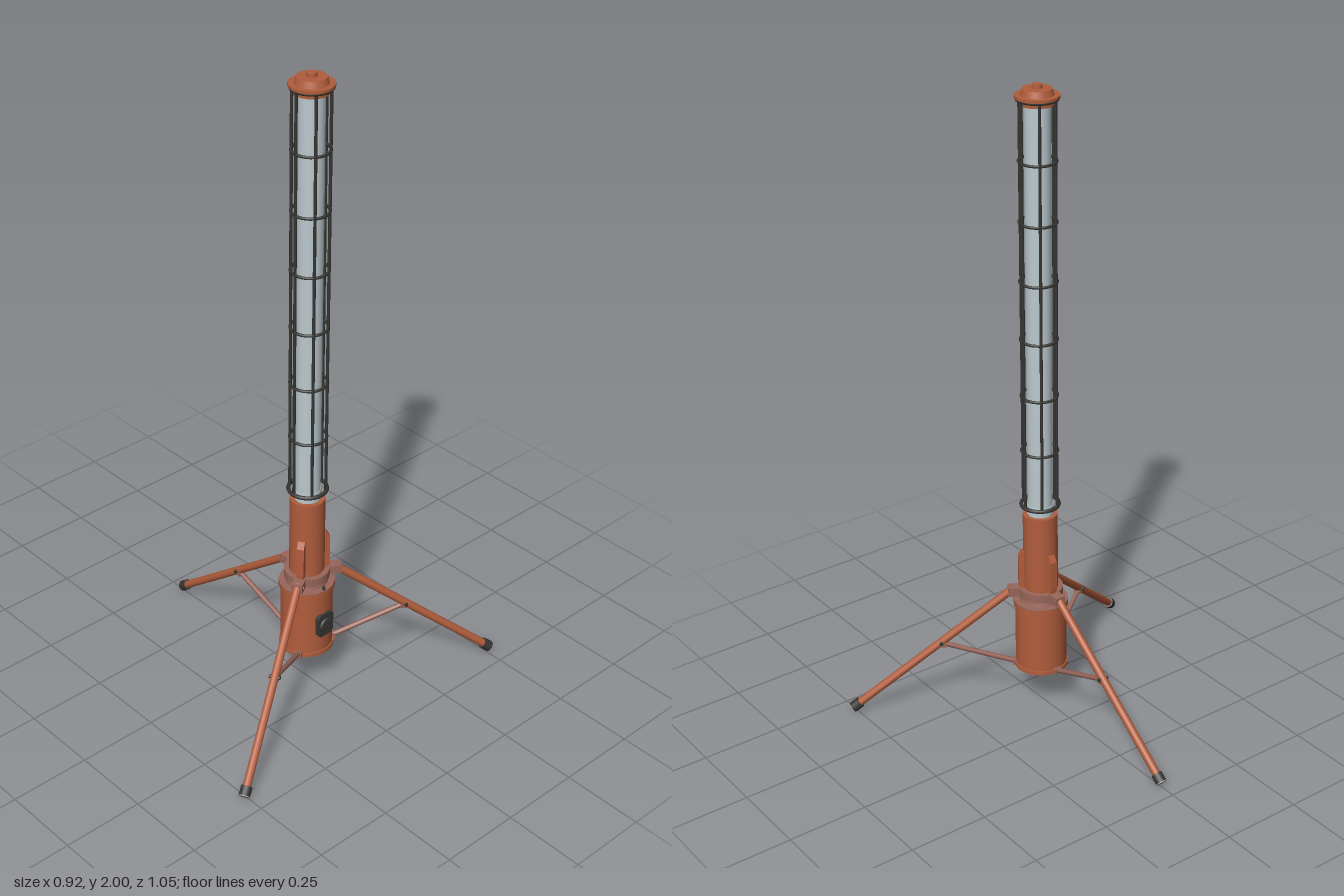
import * as THREE from 'three';

const mat = (name, color) => {
  const m = new THREE.MeshStandardMaterial({ color });
  m.name = name;
  return m;
};

export function createModel() {
  const orange = mat('rust orange', 0xb15d3c);
  const dark = mat('dark rubber', 0x363733);
  const grey = mat('worn grey', 0x9a9ea0);
  const glass = mat('pale glass', 0xbcc9ce);
  const bracket = mat('dusty brown', 0x99665a);

  const model = new THREE.Group();
  const lamp = new THREE.Group();
  lamp.name = 'lamp';
  lamp.position.x = 0.145;
  model.add(lamp);

  const add = (parent, name, geo, material, x = 0, y = 0, z = 0) => {
    const mesh = new THREE.Mesh(geo, material);
    mesh.name = name;
    mesh.position.set(x, y, z);
    parent.add(mesh);
    return mesh;
  };
  // Upright cylinder between two heights
  const drum = (name, rTop, rBottom, y0, y1, material, sides = 32) =>
    add(lamp, name, new THREE.CylinderGeometry(rTop, rBottom, y1 - y0, sides), material, 0, (y0 + y1) / 2);
  // Round rod between two points
  const rod = (parent, name, a, b, r, material, sides = 12) => {
    const dir = b.clone().sub(a);
    const mesh = add(parent, name, new THREE.CylinderGeometry(r, r, dir.length(), sides), material);
    mesh.position.copy(a).add(b).multiplyScalar(0.5);
    mesh.quaternion.setFromUnitVectors(new THREE.Vector3(0, 1, 0), dir.normalize());
    return mesh;
  };
  const v = (x, y, z = 0) => new THREE.Vector3(x, y, z);

  // Base housing and column
  drum('baseBottomRim', 0.083, 0.083, 0.137, 0.149, orange);
  drum('baseHousing', 0.079, 0.079, 0.149, 0.355, orange);
  drum('baseTopRim', 0.085, 0.085, 0.353, 0.369, orange, 16);
  drum('baseLid', 0.085, 0.085, 0.369, 0.372, bracket, 16);
  drum('neck', 0.06, 0.065, 0.372, 0.39, bracket);
  drum('legCollar', 0.069, 0.069, 0.388, 0.415, bracket);
  drum('column', 0.053, 0.053, 0.41, 0.668, orange);

  // Glass tube with its lower seat
  drum('tubeSeat', 0.04, 0.04, 0.668, 0.7, glass);
  drum('glassTube', 0.038, 0.038, 0.7, 1.95, glass);

  // Cage of rings and upright bars
  for (let i = 0; i < 8; i++) {
    const end = i === 0 || i === 7;
    const ring = new THREE.TorusGeometry(end ? 0.057 : 0.054, end ? 0.006 : 0.0045, 8, 32);
    add(lamp, 'cageRing', ring.rotateX(Math.PI / 2), dark, 0, 0.7 + i * 0.18);
  }
  for (let i = 0; i < 6; i++) {
    const a = Math.PI / 6 + i * Math.PI / 3;
    const x = 0.055 * Math.cos(a), z = 0.055 * Math.sin(a);
    rod(lamp, 'cageBar', v(x, 0.7, z), v(x, 1.962, z), 0.0045, dark, 8);
  }

  // Stepped cap
  drum('capBase', 0.05, 0.05, 1.943, 1.964, orange);
  drum('capFlange', 0.064, 0.064, 1.962, 1.97, orange);
  drum('capDome', 0.042, 0.048, 1.97, 1.988, orange);
  drum('capKnob', 0.014, 0.015, 1.988, 2.0, orange, 16);

  // Rib outline with sloped ends, standing against the column
  const ribShape = new THREE.Shape([
    new THREE.Vector2(0.045, 0.412), new THREE.Vector2(0.066, 0.412), new THREE.Vector2(0.068, 0.43),
    new THREE.Vector2(0.068, 0.522), new THREE.Vector2(0.056, 0.542), new THREE.Vector2(0.045, 0.542)]);
  const ribGeo = new THREE.ExtrudeGeometry(ribShape, { depth: 0.022, bevelEnabled: false });
  ribGeo.translate(0, 0, -0.011);

  // Three tripod legs, each built along +x and turned into place
  const legTop = v(0.085, 0.408), legEnd = v(0.594, 0.015);
  const along = t => legTop.clone().lerp(legEnd, t);
  for (const angle of [Math.PI, Math.PI / 3, -Math.PI / 3]) {
    const leg = new THREE.Group();
    leg.name = 'tripodLeg';
    leg.rotation.y = angle;
    lamp.add(leg);
    add(leg, 'columnRib', ribGeo, orange);
    add(leg, 'hingeBlock', new THREE.BoxGeometry(0.045, 0.028, 0.034), bracket, 0.079, 0.402);
    rod(leg, 'hingePin', v(0.09, 0.402, -0.02), v(0.09, 0.402, 0.02), 0.005, bracket, 8);
    rod(leg, 'legTube', legTop, along(0.96), 0.0125, orange);
    rod(leg, 'rubberFoot', along(0.952), along(0.996), 0.017, dark, 16);
    rod(leg, 'footSole', along(0.996), legEnd, 0.0165, grey, 16);
    add(leg, 'strutClamp', new THREE.BoxGeometry(0.02, 0.022, 0.022), bracket, 0.306, 0.23);
    rod(leg, 'clampBolt', v(0.311, 0.233, -0.017), v(0.311, 0.233, 0.017), 0.006, dark, 8);
    rod(leg, 'strut', v(0.308, 0.23), v(0.078, 0.145), 0.008, bracket, 8);
    add(leg, 'strutLug', new THREE.BoxGeometry(0.02, 0.016, 0.024), bracket, 0.08, 0.146);
  }

  // Power socket on the side of the housing
  const plate = new THREE.Shape([[-0.03, -0.03], [-0.022, -0.039], [0.022, -0.039], [0.03, -0.03],
    [0.03, 0.03], [0.022, 0.039], [-0.022, 0.039], [-0.03, 0.03]].map(p => new THREE.Vector2(...p)));
  const plateGeo = new THREE.ExtrudeGeometry(plate, { depth: 0.023, bevelEnabled: false });
  add(lamp, 'socketPlate', plateGeo.rotateY(Math.PI / 2), dark, 0.064, 0.247);
  const socket = new THREE.CylinderGeometry(0.024, 0.027, 0.01, 8);
  add(lamp, 'socketCap', socket.rotateZ(-Math.PI / 2), dark, 0.089, 0.247);

  // Small pointed indicator above the socket
  add(lamp, 'indicator', new THREE.ConeGeometry(0.008, 0.016, 4), dark, 0.075, 0.38);

  return model;
}
